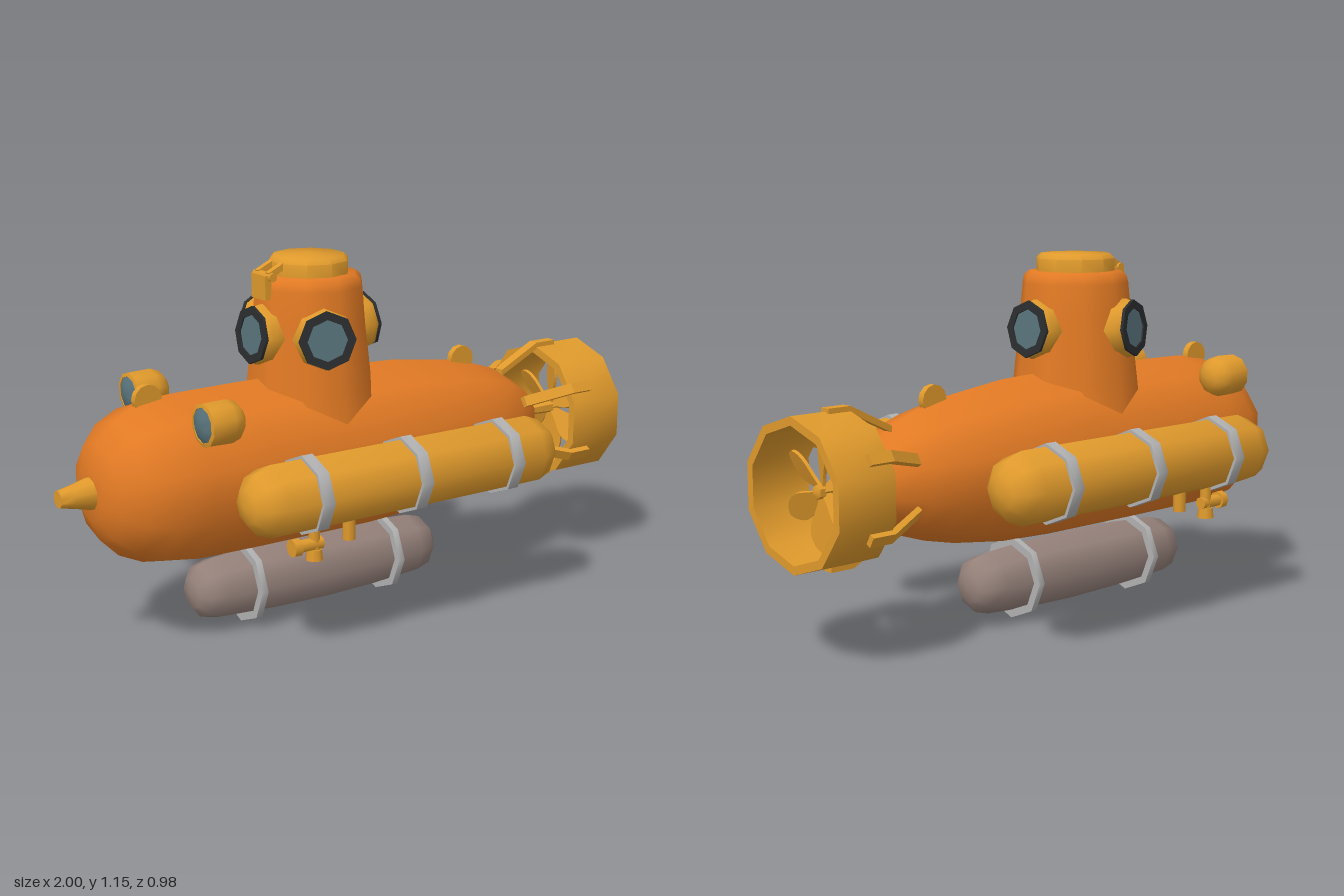
import * as THREE from 'three';
import { toCreasedNormals } from 'three/addons/utils/BufferGeometryUtils.js';

const material = (name, color) => {
  const m = new THREE.MeshStandardMaterial({ color });
  m.name = name;
  return m;
};

export function createModel() {
  const model = new THREE.Group();
  model.name = 'submarine';
  const orange = material('hull orange', 0xe27a24);
  const yellow = material('fitting yellow', 0xe09a2c);
  const steel = material('strap grey', 0xb2b2b2);
  const taupe = material('keel tank taupe', 0x95817a);
  const dark = material('gasket black', 0x2b2d2f);
  const glass = material('window glass', 0x58737b);

  const add = (name, geo, mat, parent = model, x = 0, y = 0, z = 0) => {
    const mesh = new THREE.Mesh(geo, mat);
    mesh.name = name;
    mesh.position.set(x, y, z);
    parent.add(mesh);
    return mesh;
  };
  // Turned solid from [radius, height] pairs, upright
  const turned = (pts, sides, start = 0) => toCreasedNormals(
    new THREE.LatheGeometry(pts.map(p => new THREE.Vector2(...p)), sides, start), 0.9);
  // The same, lying along x with a corner on top
  const turnedX = (pts, sides) => turned(pts, sides, Math.PI / 2).rotateZ(-Math.PI / 2);
  const ring = (r0, r1, h) => [[r0, -h], [r1, -h], [r1, h], [r0, h], [r0, -h]];
  const extruded = (shape, depth) => new THREE.ExtrudeGeometry(shape,
    { depth, bevelEnabled: false, curveSegments: 8 }).translate(0, 0, -depth / 2);

  const axisY = 0.517;

  // Hull and nose
  add('hull', turnedX([[0, -0.9], [0.085, -0.895], [0.15, -0.87], [0.21, -0.81], [0.247, -0.73],
    [0.263, -0.62], [0.266, -0.4], [0.266, 0], [0.258, 0.2], [0.232, 0.4], [0.205, 0.52],
    [0.172, 0.62], [0.115, 0.71], [0.055, 0.77], [0, 0.8]], 10), orange, model, 0, axisY);
  add('noseCone', turnedX([[0, -1], [0.027, -1], [0.036, -0.955], [0.056, -0.875], [0, -0.87]], 10),
    yellow, model, 0, axisY);

  // Conning tower and hatch
  const towerX = -0.122;
  add('tower', turned([[0.218, 0.6], [0.203, 0.75], [0.193, 0.84], [0.182, 0.95], [0.172, 1.06],
    [0.167, 1.083], [0.15, 1.098], [0, 1.1]], 10), orange, model, towerX);
  add('hatch', turned([[0.127, 1.09], [0.127, 1.138], [0.113, 1.153], [0, 1.157]], 10),
    yellow, model, towerX);

  // Hatch hinge on the nose side of the tower
  const hinge = new THREE.Group();
  hinge.name = 'hatchHinge';
  model.add(hinge);
  add('hingeBarrel', new THREE.CylinderGeometry(0.014, 0.014, 0.1, 8).rotateX(Math.PI / 2),
    yellow, hinge, -0.283, 1.102);
  add('hingePlate', new THREE.BoxGeometry(0.022, 0.075, 0.08), yellow, hinge, -0.295, 1.07);
  for (const z of [-0.03, 0.03])
    add('hingeArm', new THREE.BoxGeometry(0.07, 0.02, 0.02).rotateZ(0.45), yellow, hinge, -0.257, 1.122, z);

  // Four portholes around the tower
  [0, Math.PI, Math.PI * 0.6, -Math.PI * 0.6].forEach(angle => {
    const turn = new THREE.Group();
    turn.name = 'porthole';
    turn.position.set(towerX, 0.92, 0);
    turn.rotation.y = angle;
    model.add(turn);
    const port = new THREE.Group();
    port.name = 'portholeAssembly';
    port.position.x = 0.17;
    port.rotation.z = 0.07;
    turn.add(port);
    add('portholeHousing', turnedX([[0.094, -0.03], [0.094, 0.018], [0.086, 0.037], [0, 0.037]], 8), yellow, port);
    add('portholeGasket', turnedX(ring(0.064, 0.09, 0.005), 8), dark, port, 0.04);
    add('portholeGlass', turnedX([[0.066, -0.002], [0.066, 0.002], [0, 0.002]], 8), glass, port, 0.038);
  });

  // Side tanks, valves and headlights, mirrored
  for (const s of [-1, 1]) {
    const z = 0.368 * s;
    add('sideTank', turnedX([[0, -0.595], [0.055, -0.583], [0.092, -0.552], [0.112, -0.5],
      [0.112, 0.455], [0.092, 0.508], [0.055, 0.539], [0, 0.551]], 8), yellow, model, 0, axisY, z);
    for (const x of [-0.375, -0.017, 0.34])
      add('sideTankStrap', turnedX(ring(0.108, 0.122, 0.02), 8), steel, model, x, axisY, z);

    const valve = new THREE.Group();
    valve.name = 'valve';
    valve.position.set(0, 0, z);
    model.add(valve);
    add('valveStem', new THREE.CylinderGeometry(0.018, 0.018, 0.11, 8), yellow, valve, -0.35, 0.375);
    add('valveFoot', new THREE.CylinderGeometry(0.023, 0.027, 0.033, 8), yellow, valve, -0.35, 0.327);
    add('valveBody', new THREE.CylinderGeometry(0.02, 0.02, 0.095, 8).rotateZ(Math.PI / 2), yellow, valve, -0.373, 0.36);
    add('valveKnob', new THREE.CylinderGeometry(0.028, 0.028, 0.025, 8).rotateZ(Math.PI / 2), yellow, valve, -0.418, 0.36);
    add('drainStub', new THREE.CylinderGeometry(0.02, 0.02, 0.08, 8), yellow, valve, -0.225, 0.39);

    const lamp = new THREE.Group();
    lamp.name = 'headlight';
    lamp.position.set(-0.58, 0.736, 0.228 * s);
    model.add(lamp);
    add('headlightShell', turnedX([[0.052, -0.055], [0.054, -0.063], [0.066, -0.06], [0.068, 0.015],
      [0.058, 0.045], [0.034, 0.064], [0, 0.07]], 10), yellow, lamp);
    add('headlightLens', turnedX([[0, -0.075], [0.03, -0.072], [0.054, -0.06]], 10), glass, lamp);
  }

  // Keel tank
  add('keelTank', turnedX([[0, -0.57], [0.05, -0.563], [0.085, -0.535], [0.1, -0.48], [0.111, -0.3],
    [0.115, -0.11], [0.111, 0.08], [0.1, 0.26], [0.085, 0.315], [0.05, 0.343], [0, 0.35]], 8),
  taupe, model, 0, 0.134);
  for (const x of [-0.375, 0.15])
    add('keelTankStrap', turnedX(ring(0.106, 0.132, 0.011), 8), steel, model, x, 0.134);

  // Lifting lugs on the centreline
  for (const [x, y] of [[-0.7, 0.775], [0.48, 0.741]])
    add('liftingLug', new THREE.CylinderGeometry(0.046, 0.046, 0.022, 12).rotateX(Math.PI / 2), yellow, model, x, y);

  // Propeller duct with six bent struts
  add('propellerDuct', turnedX([[0.203, 0.8], [0.23, 0.8], [0.23, 1], [0.203, 1], [0.203, 0.8]], 10),
    yellow, model, 0, axisY);
  const strut = extruded(new THREE.Shape([[0.65, 0.145], [0.808, 0.222], [0.88, 0.222], [0.88, 0.24],
    [0.8, 0.24], [0.65, 0.165]].map(p => new THREE.Vector2(...p))), 0.035);

  // Propeller
  const petal = new THREE.Shape();
  petal.moveTo(-0.01, 0);
  petal.bezierCurveTo(-0.015, 0.06, -0.045, 0.08, -0.042, 0.125);
  petal.bezierCurveTo(-0.038, 0.16, -0.015, 0.18, 0, 0.184);
  petal.bezierCurveTo(0.015, 0.18, 0.038, 0.16, 0.042, 0.125);
  petal.bezierCurveTo(0.045, 0.08, 0.015, 0.06, 0.01, 0);
  const blade = extruded(petal, 0.01).rotateY(Math.PI / 2 - 0.4);
  add('propellerHub', turnedX([[0.016, 0.76], [0.022, 0.86], [0.022, 0.915], [0, 0.925]], 6),
    yellow, model, 0, axisY);
  for (let i = 0; i < 6; i++) {
    const a = i * Math.PI / 3;
    add('ductStrut', strut, yellow, model, 0, axisY).rotation.x = a;
    add('propellerBlade', blade, yellow, model, 0.89, axisY).rotation.x = a;
  }
  return model;
}
